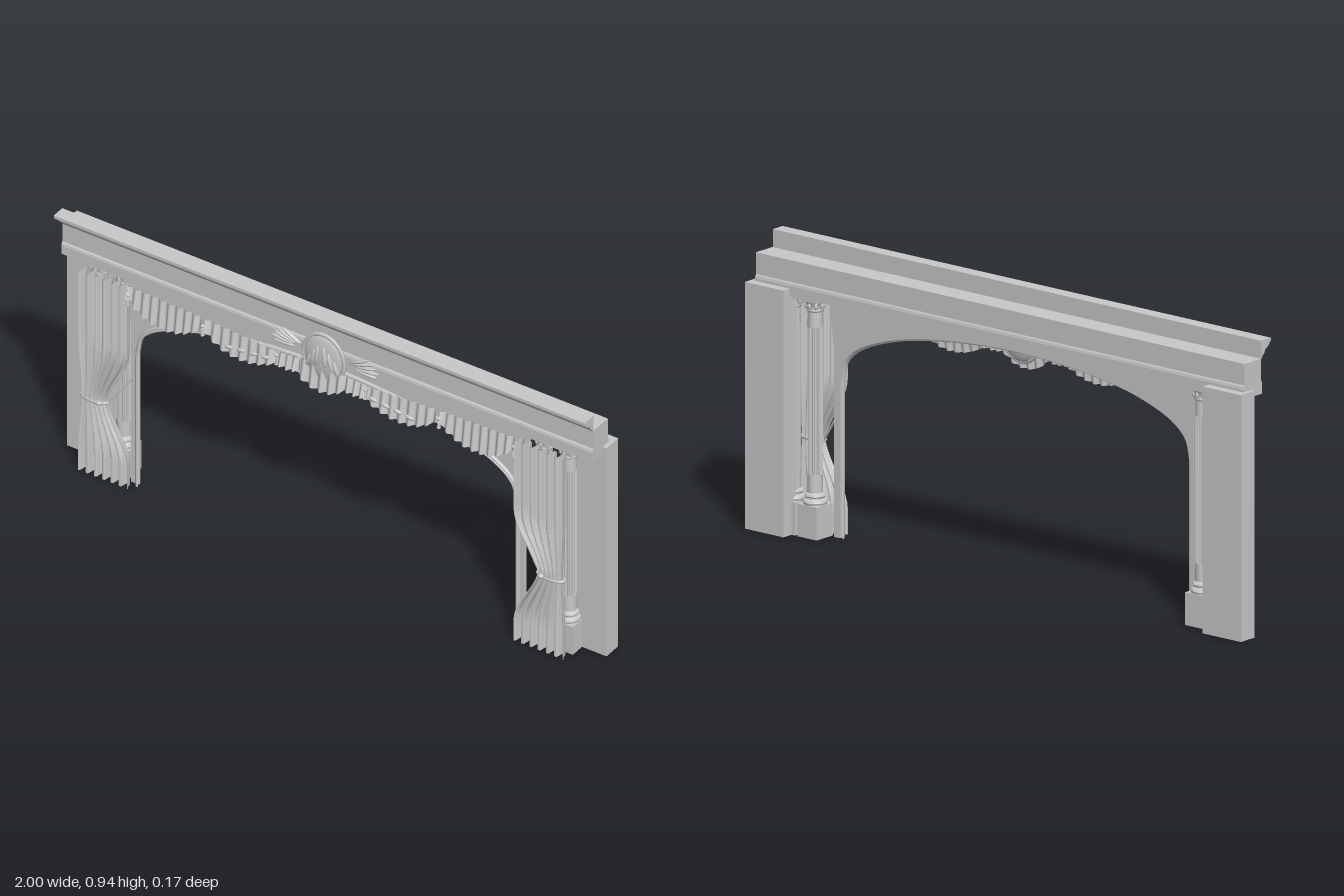
import * as THREE from 'three';
import { toCreasedNormals } from 'three/addons/utils/BufferGeometryUtils.js';

const plaster = new THREE.MeshStandardMaterial({ color: 0xc8c8c8, side: THREE.DoubleSide });
plaster.name = 'plaster grey';

function add(parent, name, geometry, x = 0, y = 0, z = 0) {
  const mesh = new THREE.Mesh(geometry, plaster);
  mesh.name = name;
  mesh.position.set(x, y, z);
  parent.add(mesh);
  return mesh;
}

// Flattened ellipsoid used for carved leaves and knots
function bead(parent, name, x, y, z, sx, sy, sz, tilt = 0) {
  const mesh = add(parent, name, new THREE.SphereGeometry(1, 12, 8), x, y, z);
  mesh.scale.set(sx, sy, sz);
  mesh.rotation.z = tilt;
  return mesh;
}

// Moulding: a (z, y) profile run along x
function moulding(points, length) {
  const shape = new THREE.Shape(points.map(p => new THREE.Vector2(...p)));
  const g = new THREE.ExtrudeGeometry(shape, { depth: length, bevelEnabled: false });
  return g.translate(0, 0, -length / 2).rotateY(-Math.PI / 2);
}

// Cloth sheet: place(u, v) gives each point, u across and v up
function cloth(nu, nv, place) {
  const g = new THREE.PlaneGeometry(1, 1, nu, nv);
  const p = g.attributes.position;
  for (let i = 0; i < p.count; i++) p.setXYZ(i, ...place(p.getX(i) + 0.5, p.getY(i) + 0.5));
  g.computeVertexNormals();
  return g;
}

function column(x) {
  const g = new THREE.Group();
  g.name = 'column';
  g.position.set(x, 0, -0.008);
  add(g, 'plinth', new THREE.BoxGeometry(0.078, 0.105, 0.078), 0, 0.0525, 0);
  const base = [[0, 0.105], [0.037, 0.105], [0.039, 0.112], [0.036, 0.119], [0.031, 0.122],
    [0.03, 0.127], [0.033, 0.131], [0.031, 0.137], [0.025, 0.14], [0.023, 0.145]];
  add(g, 'columnBase', toCreasedNormals(new THREE.LatheGeometry(base.map(p => new THREE.Vector2(...p)), 24), 0.6));
  // Shaft, fluted between plain ends
  const flutes = new THREE.CylinderGeometry(1, 1, 0.47, 64, 1, true);
  const p = flutes.attributes.position;
  for (let i = 0; i < p.count; i++) {
    const a = Math.atan2(p.getZ(i), p.getX(i));
    const r = Math.cos(a * 16) > 0 ? 0.0235 : 0.0205;
    p.setXYZ(i, r * Math.cos(a), p.getY(i), r * Math.sin(a));
  }
  add(g, 'flutedShaft', toCreasedNormals(flutes, 0.3), 0, 0.435, 0);
  add(g, 'lowerShaft', new THREE.CylinderGeometry(0.0235, 0.024, 0.06, 24), 0, 0.17, 0);
  add(g, 'upperShaft', new THREE.CylinderGeometry(0.022, 0.0235, 0.06, 24), 0, 0.7, 0);
  // Leafy capital
  const bell = [[0.022, 0.72], [0.027, 0.723], [0.027, 0.728], [0.024, 0.73], [0.026, 0.742], [0.034, 0.756]];
  add(g, 'capital', new THREE.LatheGeometry(bell.map(q => new THREE.Vector2(...q)), 24));
  for (let i = 0; i < 8; i++) {
    const a = i * Math.PI / 4;
    bead(g, 'capitalLeaf', 0.027 * Math.cos(a), 0.741, 0.027 * Math.sin(a), 0.006, 0.012, 0.006);
  }
  add(g, 'abacus', new THREE.BoxGeometry(0.074, 0.012, 0.074), 0, 0.762, 0);
  return g;
}

// Tied-back curtain: the inner edge is gathered in at the waist
function curtain(s) {
  const g = new THREE.Group();
  g.name = 'curtain';
  const smooth = THREE.MathUtils.smoothstep;
  const waist = y => (y > 0.29 ? 1 - smooth(y, 0.27, 0.5) : smooth(y, 0.08, 0.31));
  const sheet = cloth(100, 44, (u, v) => {
    const y = v * 0.757, w = waist(y);
    const outer = 0.9 - 0.012 * w, inner = 0.715 + 0.088 * w;
    const wave = Math.tanh(2.5 * Math.cos(u * Math.PI * 12));
    return [s * (outer + (inner - outer) * u), y, 0.055 + 0.014 * wave * (1 - 0.35 * w)];
  });
  add(g, 'curtainFolds', toCreasedNormals(sheet, 0.7));
  const tie = add(g, 'curtainTie', new THREE.TorusGeometry(0.048, 0.005, 8, 28), s * 0.846, 0.29, 0.058);
  tie.rotation.x = Math.PI / 2;
  tie.scale.set(1, 0.45, 1);
  bead(g, 'tieKnot', s * 0.82, 0.29, 0.075, 0.01, 0.008, 0.009);
  // Cord from the waist up to the arch leg
  const cord = new THREE.LineCurve3(new THREE.Vector3(s * 0.8, 0.29, 0.055), new THREE.Vector3(s * 0.72, 0.4, 0.035));
  add(g, 'tieCord', new THREE.TubeGeometry(cord, 1, 0.004, 6));
  return g;
}

// Scalloped valance drop with vertical pleats
function swag(x, width, topOuter, topInner, low, pleats) {
  const side = Math.sign(x) || 1;
  return cloth(72, 10, (u, v) => {
    const px = x + (u - 0.5) * width;
    const t = side > 0 ? 1 - u : u;
    const top = topOuter + (topInner - topOuter) * t;
    const bottom = low + (top - 0.035 - low) * Math.pow(Math.abs(2 * u - 1), 2.2);
    const z = 0.06 + 0.012 * (1 - v) + 0.007 * Math.cos(u * Math.PI * 2 * pleats) * (1 - 0.4 * v);
    return [px, bottom + (top - bottom) * v, z];
  });
}

export function createModel() {
  const model = new THREE.Group();
  model.name = 'stageArch';

  // Entablature and cornice
  add(model, 'entablature', moulding([[-0.055, 0.767], [0.035, 0.767], [0.035, 0.798], [0.033, 0.806],
    [0.029, 0.811], [0.029, 0.88], [-0.05, 0.88], [-0.05, 0.811], [-0.053, 0.806], [-0.055, 0.798]], 1.97));
  add(model, 'cornice', moulding([[0.03, 0.878], [0.036, 0.887], [0.045, 0.895], [0.05, 0.906], [0.059, 0.911],
    [0.068, 0.917], [0.071, 0.925], [0.077, 0.927], [0.077, 0.937], [0.03, 0.937]], 1.97));

  // Arch panel with spandrels and slim legs
  const half = [[0.705, 0.46], [0.703, 0.51], [0.686, 0.57], [0.632, 0.618], [0.48, 0.675], [0.25, 0.713]];
  const points = [...half, [0, 0.726], ...half.slice().reverse().map(([x, y]) => [-x, y])];
  const arc = new THREE.CatmullRomCurve3(points.map(([x, y]) => new THREE.Vector3(x, y, 0))).getPoints(80);
  const edge = [new THREE.Vector3(0.705, 0, 0), ...arc, new THREE.Vector3(-0.705, 0, 0)];
  const outline = [[-0.73, 0], [-0.73, 0.6], [-0.75, 0.77], [0.75, 0.77], [0.73, 0.6], [0.73, 0]];
  const panel = new THREE.Shape([...edge.map(p => new THREE.Vector2(p.x, p.y)),
    ...outline.map(p => new THREE.Vector2(...p))]);
  add(model, 'archPanel', new THREE.ExtrudeGeometry(panel, { depth: 0.01, bevelEnabled: false }), 0, 0, 0.02);

  // Double rounded moulding following the opening
  const path = new THREE.CurvePath();
  for (let i = 1; i < edge.length; i++) path.add(new THREE.LineCurve3(edge[i - 1], edge[i]));
  add(model, 'archMoulding', new THREE.TubeGeometry(path, 240, 0.008, 8), 0, 0.004, 0.03);
  add(model, 'archInnerBead', new THREE.TubeGeometry(path, 240, 0.004, 6), 0, -0.004, 0.035);

  for (const s of [1, -1]) {
    add(model, 'wallPier', new THREE.BoxGeometry(0.155, 0.79, 0.065), s * 0.9225, 0.395, -0.0525);
    model.add(column(s * 0.87), column(s * 0.782), curtain(s));

    // Side swags and the tassels between them
    add(model, 'outerSwag', swag(s * 0.58, 0.28, 0.765, 0.755, 0.662, 9));
    add(model, 'innerSwag', swag(s * 0.295, 0.27, 0.755, 0.738, 0.662, 8));
    add(model, 'linkSwag', swag(s * 0.125, 0.1, 0.738, 0.745, 0.695, 4));
    for (const [x, y] of [[0.438, 0.715], [0.165, 0.715], [0.715, 0.72]]) {
      add(model, 'tassel', new THREE.ConeGeometry(0.007, 0.035, 8), s * x, y, 0.07);
      bead(model, 'tasselKnot', s * x, y + 0.017, 0.07, 0.007, 0.006, 0.006);
    }
    for (let i = 0; i < 4; i++) {
      bead(model, 'valanceLeaf', s * (0.2 + i * 0.045), 0.714 - i * 0.005, 0.078, 0.017, 0.007, 0.006, -s * 0.2);
    }

    // Leaf spray beside the cartouche
    for (let i = 0; i < 5; i++) {
      const a = -0.05 + i * 0.13, r = 0.125 - Math.abs(i - 1) * 0.008;
      bead(model, 'sprayLeaf', s * (0.035 + r * Math.cos(a)), 0.775 + r * Math.sin(a) * 0.7, 0.044,
        0.042, 0.006, 0.008, s * a);
    }
    // Carved fronds on the cartouche
    for (let i = 0; i < 3; i++) {
      bead(model, 'cartoucheFrond', s * (0.014 + i * 0.018), 0.792 - i * 0.016, 0.069 - i * 0.005,
        0.007, 0.038 - i * 0.004, 0.01, s * (0.1 + i * 0.1));
    }
  }

  // Central swag and oval cartouche
  add(model, 'centreSwag', swag(0, 0.2, 0.745, 0.745, 0.66, 6));
  bead(model, 'cartouche', 0, 0.775, 0.05, 0.076, 0.09, 0.018);
  const rim = add(model, 'cartoucheRim', new THREE.TorusGeometry(0.075, 0.006, 8, 40), 0, 0.775, 0.052);
  rim.scale.set(1, 1.18, 1);
  return model;
}
